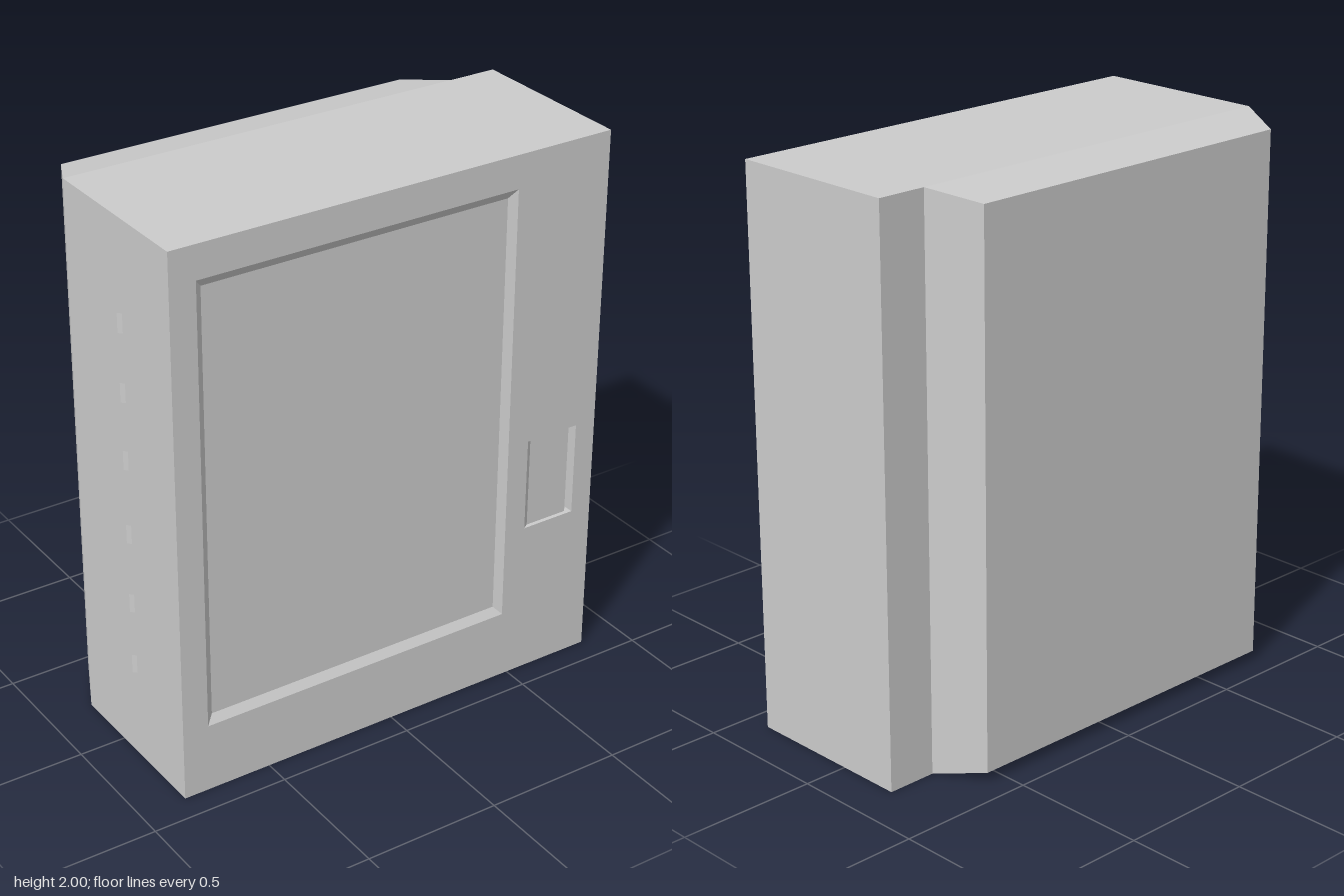
import * as THREE from 'three';

const LEFT = -0.83, RIGHT = 0.84, FRONT = 0.405, BACK = -0.235, SLAB = 0.345;

// corners of a rectangle, counter-clockwise seen from the front
const rect = (x0, y0, x1, y1) => [[x0, y0], [x1, y0], [x1, y1], [x0, y1]];

// four sloping sides between two rectangles, closed by a cap on the second
function taper(a, za, b, zb, flip) {
  const pos = [];
  const quad = (...p) => {
    const order = flip ? [0, 2, 1, 0, 3, 2] : [0, 1, 2, 0, 2, 3];
    order.forEach((k) => pos.push(...p[k]));
  };
  const A = a.map((p) => [...p, za]), B = b.map((p) => [...p, zb]);
  for (let i = 0; i < 4; i++) {
    const j = (i + 1) % 4;
    quad(A[i], A[j], B[j], B[i]);
  }
  quad(...B);
  const g = new THREE.BufferGeometry();
  g.setAttribute('position', new THREE.Float32BufferAttribute(pos, 3));
  g.computeVertexNormals();
  return g;
}

const toPoints = (pts) => pts.map(([x, y]) => new THREE.Vector2(x, y));

export function createModel() {
  const group = new THREE.Group();
  const mat = new THREE.MeshStandardMaterial({ color: 0xcccccc, flatShading: true });
  const thin = new THREE.MeshStandardMaterial({ color: 0xcccccc, flatShading: true, side: THREE.DoubleSide });
  const add = (name, geo, m = mat) => {
    const mesh = new THREE.Mesh(geo, m);
    mesh.name = name;
    group.add(mesh);
    return mesh;
  };

  // cabinet body behind the front
  const body = add('body', new THREE.BoxGeometry(RIGHT - LEFT, 2, SLAB - BACK));
  body.position.set((LEFT + RIGHT) / 2, 1, (SLAB + BACK) / 2);

  // front with openings for the door panel and the handle
  const panelOuter = rect(-0.735, 0.255, 0.47, 1.88);
  const panelInner = rect(-0.708, 0.285, 0.443, 1.848);
  const handle = rect(0.553, 0.58, 0.76, 0.925);
  const front = new THREE.Shape(toPoints(rect(LEFT, 0, RIGHT, 2)));
  front.holes.push(new THREE.Path(toPoints(panelOuter)), new THREE.Path(toPoints(handle)));
  const frontGeo = new THREE.ExtrudeGeometry(front, { depth: FRONT - SLAB, bevelEnabled: false });
  add('front', frontGeo.translate(0, 0, SLAB));

  // shallow recessed panel with bevelled edges
  add('doorPanel', taper(panelOuter, FRONT, panelInner, FRONT - 0.02, false));

  // handle plate: sloping lead-in, flat face and steep finger groove
  const profile = [[0.553, FRONT], [0.575, FRONT - 0.015], [0.74, FRONT - 0.015],
    [0.76, FRONT - 0.055], [0.76, SLAB], [0.553, SLAB]];
  const plate = new THREE.Shape(toPoints(profile.map(([x, z]) => [x, -z])));
  const plateGeo = new THREE.ExtrudeGeometry(plate, { depth: 0.345, bevelEnabled: false });
  add('handlePlate', plateGeo.rotateX(-Math.PI / 2).translate(0, 0.58, 0));

  // tapered rear housing
  add('rearHousing', taper(rect(LEFT, 0, 0.66, 2), BACK, rect(-0.745, 0.037, 0.573, 1.965), -0.408, true));

  // thin slanted hinge tabs on the side
  [0.37, 0.61, 0.875, 1.15, 1.395, 1.64].forEach((y) => {
    const hinge = add('hinge', new THREE.PlaneGeometry(0.02, 0.07), thin);
    hinge.position.set(-0.835, y, 0.107);
    hinge.rotation.y = -Math.PI / 4;
  });

  return group;
}
